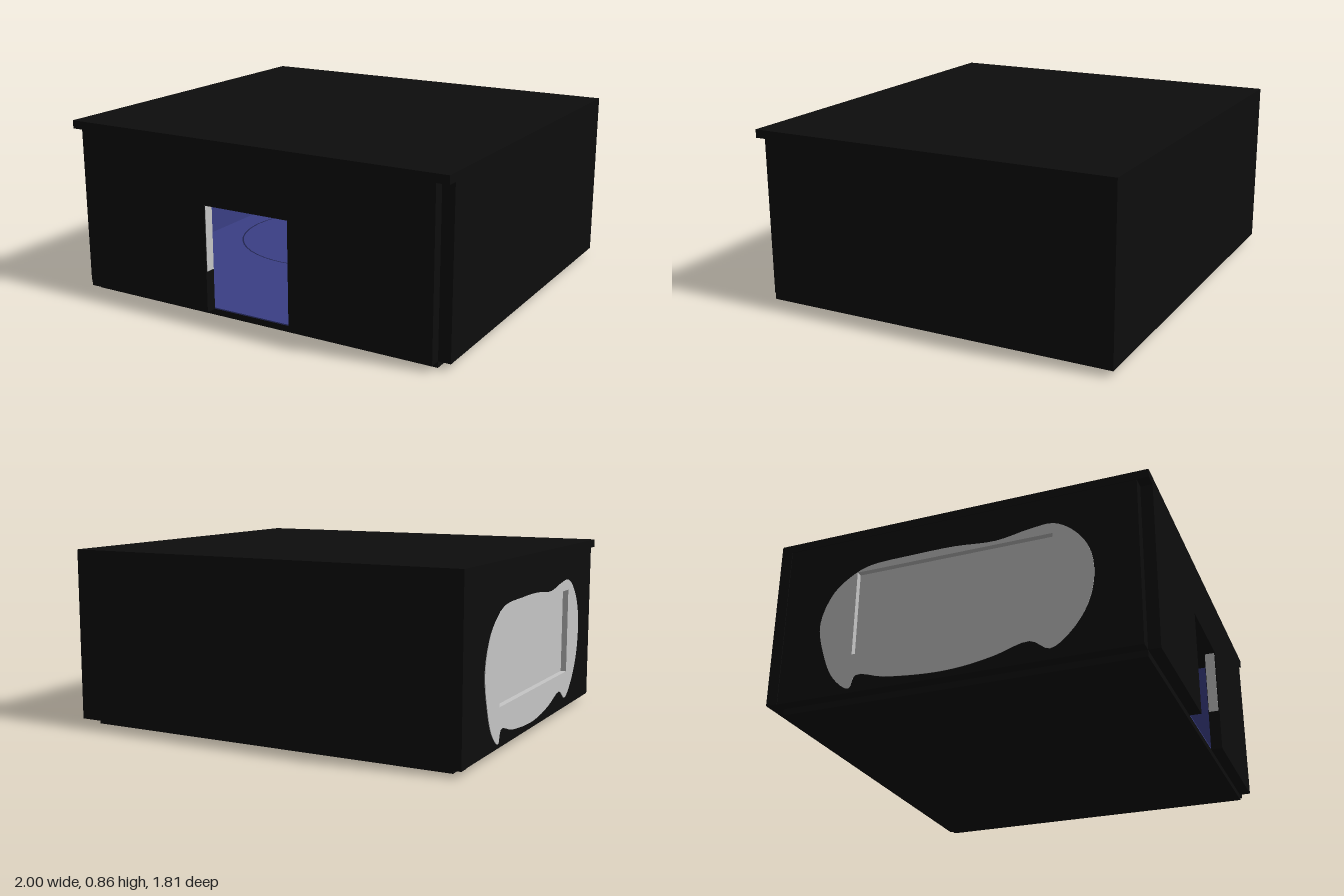
import * as THREE from 'three';

const mat = (name, color) => {
  const m = new THREE.MeshStandardMaterial({ color });
  m.name = name;
  return m;
};

export function createModel() {
  const black = mat('black shell', 0x0d0d0d);
  const blue = mat('blue interior', 0x3a3f85);
  const navy = mat('navy grooves', 0x20244f);
  const grey = mat('light grey', 0xc6c6c6);
  const white = mat('white trim', 0xe2e2e2);

  const model = new THREE.Group();
  model.name = 'room';
  const add = (name, geo, material, x = 0, y = 0, z = 0, parent = model) => {
    const mesh = new THREE.Mesh(geo, material);
    mesh.name = name;
    mesh.position.set(x, y, z);
    parent.add(mesh);
    return mesh;
  };
  // Box given by its minimum and maximum on each axis
  const box = (name, material, x0, x1, y0, y1, z0, z1, parent = model) =>
    add(name, new THREE.BoxGeometry(x1 - x0, y1 - y0, z1 - z0), material,
      (x0 + x1) / 2, (y0 + y1) / 2, (z0 + z1) / 2, parent);
  const rect = (Type, u0, u1, v0, v1) => {
    const p = new Type();
    p.moveTo(u0, v0).lineTo(u1, v0).lineTo(u1, v1).lineTo(u0, v1).closePath();
    return p;
  };
  const extrude = (shape, depth) =>
    new THREE.ExtrudeGeometry(shape, { depth, bevelEnabled: false, curveSegments: 6 });

  // Outer shell
  box('floorSlab', black, -0.94, 0.94, 0, 0.03, -0.85, 0.85);
  box('roof', black, -1, 1, 0.82, 0.86, -0.905, 0.905);
  box('backWall', black, -1, 1, 0.03, 0.82, -0.905, -0.85);
  box('leftWall', black, 0.94, 1, 0.03, 0.82, -0.85, 0.85);

  // Front wall with a doorway open at the bottom
  const front = new THREE.Shape();
  [[-0.94, 0.03], [-0.225, 0.03], [-0.225, 0.55], [0.225, 0.55], [0.225, 0.03],
    [0.94, 0.03], [0.94, 0.82], [-0.94, 0.82]].forEach(([x, y], i) =>
    i ? front.lineTo(x, y) : front.moveTo(x, y));
  front.closePath();
  add('frontWall', extrude(front, 0.055), black, 0, 0, 0.85);
  for (const s of [-1, 1])
    box('doorJamb', grey, s * 0.225 - 0.002, s * 0.225 + 0.002, 0.23, 0.55, 0.852, 0.9);

  // Side wall with the window opening; its shape lies in z and y
  const side = rect(THREE.Shape, -0.85, 0.85, 0.03, 0.82);
  side.holes.push(rect(THREE.Path, -0.49, 0.47, 0.21, 0.64));
  add('rightWall', extrude(side, 0.057), black, -0.94).rotation.y = -Math.PI / 2;

  // Wavy grey surround and the shallow window recess
  const outline = [[-0.66, 0.40], [-0.63, 0.24], [-0.57, 0.11], [-0.49, 0.05], [-0.46, 0.11],
    [-0.32, 0.08], [-0.1, 0.06], [0.05, 0.065], [0.2, 0.09], [0.36, 0.13], [0.45, 0.08],
    [0.54, 0.14], [0.62, 0.26], [0.65, 0.40], [0.63, 0.53], [0.56, 0.63], [0.47, 0.685],
    [0.36, 0.68], [0.2, 0.655], [0, 0.67], [-0.2, 0.67], [-0.42, 0.66], [-0.5, 0.63], [-0.6, 0.55]];
  const surround = new THREE.Shape(new THREE.CatmullRomCurve3(
    outline.map(([z, y]) => new THREE.Vector3(z, y, 0)), true)
    .getPoints(96).slice(0, -1).map(p => new THREE.Vector2(p.x, p.y)));
  surround.holes.push(rect(THREE.Path, -0.485, 0.465, 0.215, 0.635));
  add('windowSurround', extrude(surround, 0.03), grey, -0.97).rotation.y = -Math.PI / 2;
  box('windowPane', grey, -0.972, -0.942, 0.212, 0.638, -0.488, 0.468);

  // Blue interior linings
  box('floorCovering', blue, -0.935, 0.935, 0.03, 0.036, -0.85, 0.85);
  box('backLining', blue, -0.94, 0.94, 0.03, 0.82, -0.85, -0.842);
  for (const s of [-1, 1])
    box('sideLining', blue, s * 0.936 - 0.004, s * 0.936 + 0.004, 0.03, 0.82, -0.845, 0.845);

  // Ribbed panelling with a rail and a row of beads
  const panel = new THREE.Group();
  panel.name = 'panelling';
  model.add(panel);
  box('panelBoard', blue, -0.93, 0.93, 0.036, 0.225, -0.842, -0.83, panel);
  box('panelRail', blue, -0.93, 0.93, 0.22, 0.232, -0.842, -0.82, panel);
  box('railGroove', navy, -0.93, 0.93, 0.214, 0.22, -0.832, -0.826, panel);
  const bead = new THREE.BoxGeometry(0.012, 0.01, 0.01);
  for (let x = -0.92; x < 0.925; x += 0.0215) {
    box('groove', navy, x - 0.003, x + 0.003, 0.05, 0.215, -0.832, -0.828, panel);
    add('bead', bead, white, x + 0.0107, 0.041, -0.825, panel);
  }

  // Round mirror on the back wall
  const mirror = new THREE.Group();
  mirror.name = 'roundMirror';
  mirror.position.set(0.075, 0.43, -0.825);
  model.add(mirror);
  add('mirrorDisc', new THREE.CylinderGeometry(0.2, 0.2, 0.03, 48), grey, 0, 0, 0, mirror)
    .rotation.x = Math.PI / 2;
  add('mirrorFrame', new THREE.TorusGeometry(0.213, 0.027, 12, 64), white, 0, 0, 0.012, mirror);
  add('innerLine', new THREE.TorusGeometry(0.187, 0.003, 6, 48), navy, 0, 0, 0.015, mirror);
  const stud = new THREE.SphereGeometry(0.006, 6, 4);
  for (let i = 0; i < 72; i++) {
    const a = i / 72 * Math.PI * 2;
    add('stud', stud, navy, 0.243 * Math.cos(a), 0.243 * Math.sin(a), 0, mirror);
  }

  // Rug seam on the floor
  add('rugEdge', new THREE.RingGeometry(0.492, 0.5, 48), navy, -0.3, 0.038, -0.33)
    .rotation.x = -Math.PI / 2;

  return model;
}
